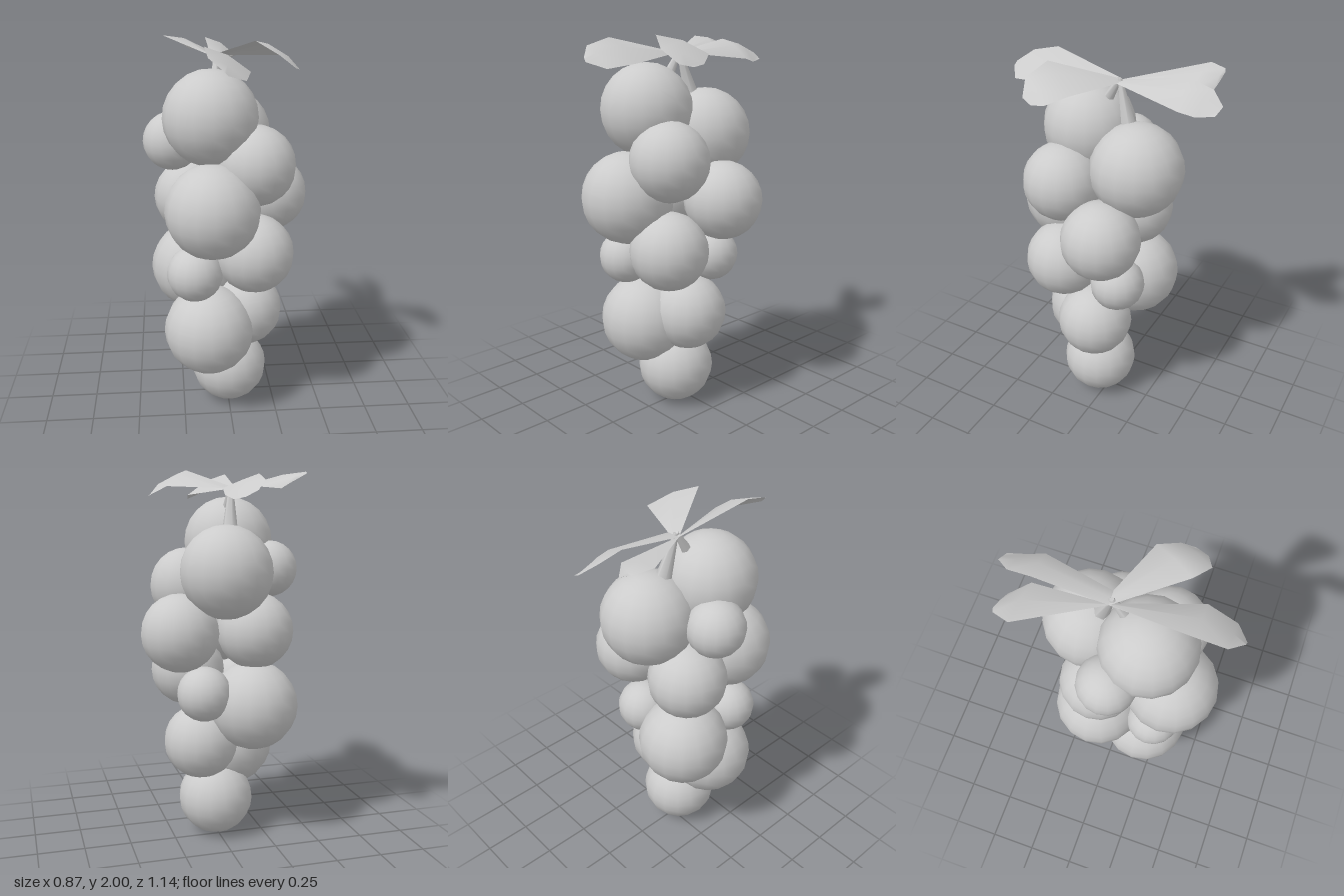
import * as THREE from 'three';

const grey = new THREE.MeshStandardMaterial({ color: 0xcccccc });
const leafGrey = new THREE.MeshStandardMaterial({ color: 0xcccccc, side: THREE.DoubleSide });

// Berries: x, y, z, radius, from the top of the bunch to its tip
const BERRIES = [
  [-0.095, 1.62, 0.16, 0.24],
  [0.005, 1.48, -0.16, 0.24],
  [-0.285, 1.48, 0.02, 0.15],
  [0.125, 1.385, 0.2, 0.205],
  [-0.095, 1.18, 0.295, 0.24],
  [0.23, 1.165, -0.075, 0.205],
  [-0.18, 1.16, -0.065, 0.205],
  [0.125, 0.92, 0.205, 0.205],
  [-0.185, 0.83, 0.24, 0.145],
  [0.11, 0.84, -0.11, 0.145],
  [-0.17, 0.755, -0.08, 0.24],
  [-0.11, 0.48, 0.175, 0.24],
  [0.09, 0.54, 0.04, 0.205],
  [0.005, 0.205, 0.055, 0.205],
];

// Leaves: cross-sections from base to tip, each [left edge, right edge] as x, y, z
const LEAVES = {
  leafBack: [
    [[-0.08, 1.9, -0.035], [-0.01, 1.9, -0.035]],
    [[-0.09, 1.96, -0.38], [0.08, 1.86, -0.39]],
    [[-0.08, 1.93, -0.5], [0.06, 1.84, -0.47]],
    [[-0.025, 1.88, -0.57], [0.03, 1.85, -0.555]],
  ],
  leafBackLeft: [
    [[-0.08, 1.9, -0.035], [-0.075, 1.9, -0.04]],
    [[-0.32, 1.97, -0.39], [-0.09, 1.9, -0.385]],
    [[-0.295, 1.96, -0.47], [-0.17, 1.89, -0.465]],
    [[-0.275, 1.95, -0.48], [-0.22, 1.92, -0.475]],
  ],
  leafFront: [
    [[-0.08, 1.9, -0.035], [-0.07, 1.9, -0.03]],
    [[-0.135, 1.985, 0.36], [0.08, 1.87, 0.36]],
    [[-0.125, 1.95, 0.5], [0.045, 1.85, 0.51]],
    [[-0.06, 1.9, 0.565], [-0.04, 1.88, 0.57]],
  ],
  leafFrontRight: [
    [[-0.08, 1.9, -0.035], [-0.01, 1.9, -0.04]],
    [[0.11, 2.0, 0.27], [0.26, 1.91, 0.065]],
    [[0.215, 1.94, 0.33], [0.325, 1.87, 0.16]],
    [[0.3, 1.875, 0.295], [0.33, 1.86, 0.23]],
  ],
};

// Thin blade with a slightly raised midrib
function leafGeometry(sections) {
  const points = [];
  const index = [];
  sections.forEach(([a, b], row) => {
    const lift = row === 1 || row === 2 ? 0.02 : 0;
    points.push(...a, (a[0] + b[0]) / 2, (a[1] + b[1]) / 2 + lift, (a[2] + b[2]) / 2, ...b);
    if (row === 0) return;
    for (let i = 0; i < 2; i++) {
      const p = (row - 1) * 3 + i;
      const q = p + 3;
      index.push(p, p + 1, q, p + 1, q + 1, q);
    }
  });
  // Wind every blade so that its upper side is the front
  const [a, b] = sections[1];
  const base = sections[0][0];
  const turn = (b[2] - a[2]) * (base[0] - a[0]) - (b[0] - a[0]) * (base[2] - a[2]);
  if (turn > 0) index.reverse();
  const geometry = new THREE.BufferGeometry();
  geometry.setAttribute('position', new THREE.Float32BufferAttribute(points, 3));
  geometry.setIndex(index);
  geometry.computeVertexNormals();
  return geometry;
}

// Tapered stalk between two points
function stalk(from, to, topRadius, bottomRadius) {
  const top = new THREE.Vector3(...from);
  const bottom = new THREE.Vector3(...to);
  const axis = top.clone().sub(bottom);
  const mesh = new THREE.Mesh(new THREE.CylinderGeometry(topRadius, bottomRadius, axis.length(), 6), grey);
  mesh.position.copy(top).add(bottom).multiplyScalar(0.5);
  mesh.quaternion.setFromUnitVectors(new THREE.Vector3(0, 1, 0), axis.normalize());
  mesh.name = 'stalk';
  return mesh;
}

export function createModel() {
  const model = new THREE.Group();
  model.name = 'bunchOfBerries';

  const berries = new THREE.Group();
  berries.name = 'berries';
  for (const [x, y, z, r] of BERRIES) {
    const berry = new THREE.Mesh(new THREE.SphereGeometry(r, 16, 12), grey);
    berry.position.set(x, y, z);
    berry.name = 'berry';
    berries.add(berry);
  }
  model.add(berries);

  // Two stalks meet where the leaves join
  const stalks = new THREE.Group();
  stalks.name = 'stalks';
  stalks.add(stalk([-0.055, 1.91, -0.03], [-0.06, 1.76, 0.06], 0.012, 0.035));
  stalks.add(stalk([-0.055, 1.91, -0.03], [-0.03, 1.66, -0.1], 0.012, 0.045));
  model.add(stalks);

  for (const [name, sections] of Object.entries(LEAVES)) {
    const leaf = new THREE.Mesh(leafGeometry(sections), leafGrey);
    leaf.name = name;
    model.add(leaf);
  }
  return model;
}
